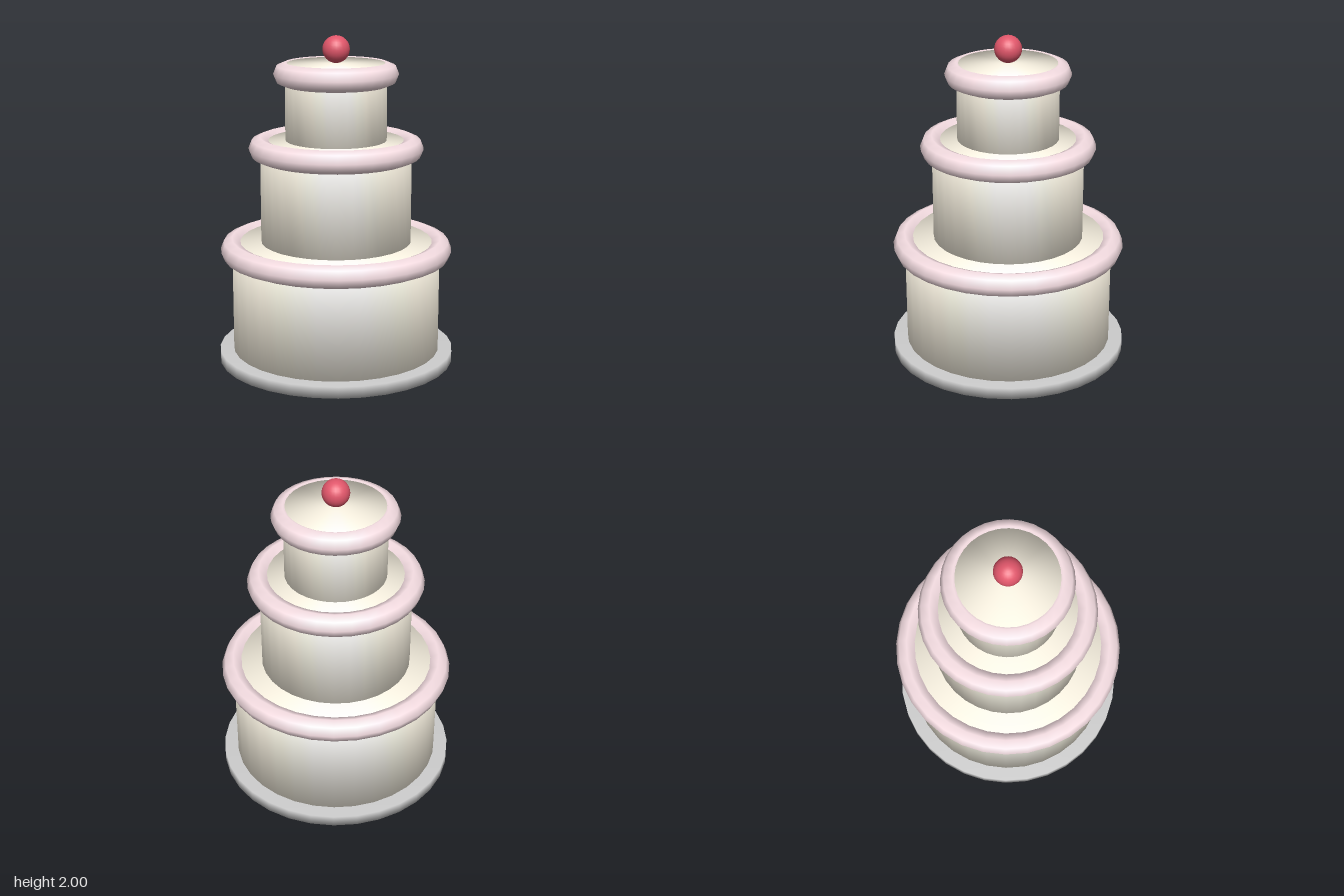
import * as THREE from 'three';

const paint = (color) => new THREE.MeshStandardMaterial({ color });

// Solid disc turned around the y axis, with softly shaded rims
function disc(name, radius, bottom, top, material) {
  const profile = [[0, bottom], [radius, bottom], [radius, top], [0, top]]
    .map(([x, y]) => new THREE.Vector2(x, y));
  const mesh = new THREE.Mesh(new THREE.LatheGeometry(profile, 32), material);
  mesh.name = name;
  return mesh;
}

export function createModel() {
  const cake = new THREE.Group();
  cake.name = 'tieredCake';
  const sponge = paint(0xfff8e7);
  const icing = paint(0xf7dfe4);

  // Serving plate
  cake.add(disc('plate', 0.723, 0, 0.07, paint(0xbfc1c2)));

  // Three tiers, each with a ring of icing around its top edge
  const tiers = [
    { name: 'bottom', radius: 0.638, from: 0.01, to: 0.747, ring: 0.7 },
    { name: 'middle', radius: 0.459, from: 0.7, to: 1.373, ring: 1.325 },
    { name: 'top', radius: 0.306, from: 1.32, to: 1.837, ring: 1.772 },
  ];
  for (const { name, radius, from, to, ring } of tiers) {
    cake.add(disc(`${name}Tier`, radius, from, to, sponge));
    const geometry = new THREE.TorusGeometry(radius, 0.07, 8, 32).rotateX(-Math.PI / 2);
    const border = new THREE.Mesh(geometry, icing);
    border.name = `${name}IcingRing`;
    border.position.y = ring;
    cake.add(border);
  }

  // Cherry on top
  const cherry = new THREE.Mesh(new THREE.SphereGeometry(0.082, 24, 16), paint(0xe0566a));
  cherry.name = 'cherry';
  cherry.position.y = 1.918;
  cake.add(cherry);

  return cake;
}
